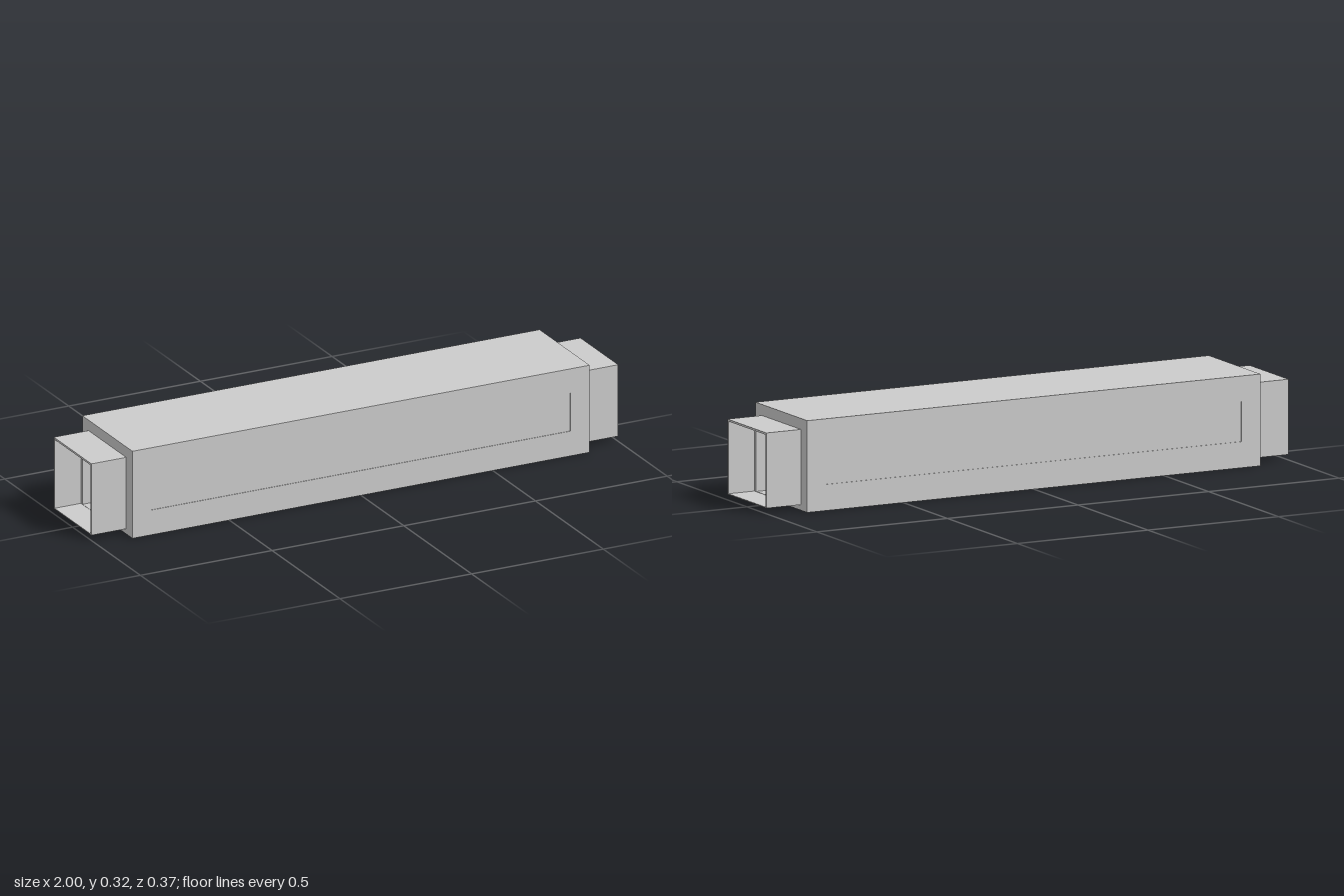
import * as THREE from 'three';

const material = new THREE.MeshStandardMaterial({ color: 0xcccccc });

// Rectangle outline as [half width, bottom, top]
function outline(target, [w, y0, y1]) {
  target.moveTo(-w, y0);
  target.lineTo(w, y0);
  target.lineTo(w, y1);
  target.lineTo(-w, y1);
  target.closePath();
  return target;
}

function frameGeometry(outer, inner, depth) {
  const shape = outline(new THREE.Shape(), outer);
  shape.holes.push(outline(new THREE.Path(), inner));
  return new THREE.ExtrudeGeometry(shape, { depth, bevelEnabled: false });
}

// Rectangular tube running along x from x0 to x1
function sleeve(name, x0, x1, outer, inner) {
  const geometry = frameGeometry(outer, inner, x1 - x0);
  geometry.rotateY(Math.PI / 2);
  geometry.translate(x0, 0, 0);
  const mesh = new THREE.Mesh(geometry, material);
  mesh.name = name;
  return mesh;
}

export function createModel() {
  const group = new THREE.Group();
  group.name = 'ductSection';

  const end = 0.868;
  const plate = 0.01;
  const skin = 0.002;
  const bore = [0.12, 0.023, 0.26];
  const stubOuter = [0.139, 0.019, 0.278];
  const stubInner = [0.133, 0.022, 0.271];

  // Hollow casing
  group.add(sleeve('casing', -end + plate, end - plate,
    [0.185 - skin, 0, 0.316], [0.173, 0.01, 0.306]));

  // Side skins leaving a shallow recessed panel on the front and back
  for (const side of [1, -1]) {
    const geometry = frameGeometry([end - plate, 0, 0.316], [0.795, 0.09, 0.228], skin);
    geometry.translate(0, 0, 0.185 - skin);
    const mesh = new THREE.Mesh(geometry, material);
    mesh.name = side > 0 ? 'frontSkin' : 'backSkin';
    mesh.rotation.y = side > 0 ? 0 : Math.PI;
    group.add(mesh);
  }

  // End plate, connecting stub and inner rim at each end
  for (const side of [1, -1]) {
    const part = new THREE.Group();
    part.name = side > 0 ? 'leftEnd' : 'rightEnd';
    part.add(
      sleeve('endPlate', end - plate, end, [0.185, 0, 0.316], bore),
      sleeve('stub', end, 1, stubOuter, stubInner),
      sleeve('innerRim', end, 0.9, stubInner, bore)
    );
    part.rotation.y = side > 0 ? 0 : Math.PI;
    group.add(part);
  }

  return group;
}
